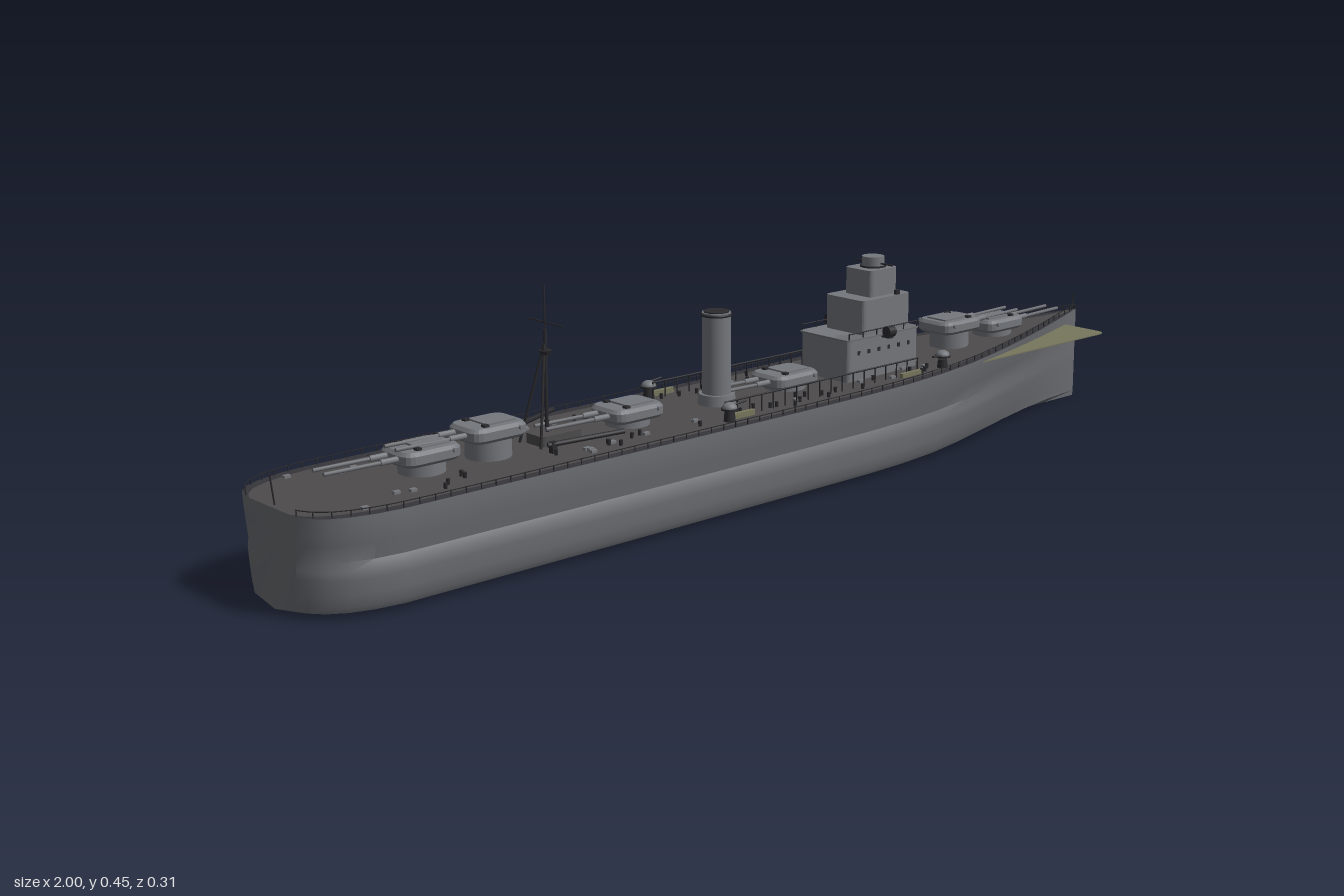
import * as THREE from 'three';
import { toCreasedNormals } from 'three/addons/utils/BufferGeometryUtils.js';

const mat = (name, color, side = THREE.FrontSide) => {
  const m = new THREE.MeshStandardMaterial({ color, side });
  m.name = name;
  return m;
};

// Stations along the hull: x, half width at deck, half width at bilge
const STATIONS = [
  [-1, 0.08, 0.062], [-0.99, 0.1, 0.083], [-0.97, 0.121, 0.108], [-0.94, 0.136, 0.128],
  [-0.9, 0.147, 0.142], [-0.85, 0.153, 0.15], [-0.4, 0.154, 0.152], [0, 0.154, 0.152],
  [0.2, 0.154, 0.151], [0.3, 0.153, 0.146], [0.4, 0.147, 0.134], [0.5, 0.135, 0.112],
  [0.6, 0.115, 0.085], [0.7, 0.091, 0.057], [0.8, 0.064, 0.032], [0.9, 0.033, 0.012], [1, 0.001, 0.001],
];
const sheer = (x) => 0.17 + 0.026 * Math.pow(Math.max(0, (x - 0.1) / 0.9), 1.5);

// Skin through rows of points, all rows the same length
function loft(rows, capFirst = false) {
  const n = rows[0].length, index = [];
  for (let i = 0; i < rows.length - 1; i++)
    for (let j = 0; j < n - 1; j++) {
      const a = i * n + j, b = a + n;
      index.push(a, a + 1, b, b, a + 1, b + 1);
    }
  if (capFirst) for (let k = 1; k < n - 1; k++) index.push(0, k + 1, k);
  const g = new THREE.BufferGeometry();
  g.setAttribute('position', new THREE.Float32BufferAttribute(rows.flat(2), 3));
  g.setIndex(index);
  return toCreasedNormals(g, 0.6);
}

export function createModel() {
  const hullGrey = mat('hull grey', 0x6b6d72);
  const steel = mat('superstructure grey', 0x74777c);
  const deckGrey = mat('deck grey', 0x4d4b4b);
  const edgeDark = mat('deck edge dark', 0x36353b);
  const dark = mat('fittings dark', 0x2b2b2f);
  const olive = mat('olive', 0x77765c);
  const ship = new THREE.Group();
  ship.name = 'warship';

  const add = (name, geo, m, x = 0, y = 0, z = 0, parent = ship) => {
    const mesh = new THREE.Mesh(geo, m);
    mesh.name = name;
    mesh.position.set(x, y, z);
    parent.add(mesh);
    return mesh;
  };
  const box = (name, w, h, d, m, x, y, z, p) => add(name, new THREE.BoxGeometry(w, h, d), m, x, y + h / 2, z, p);
  const cyl = (name, r0, r1, h, m, x, y, z, p, seg = 20) =>
    add(name, new THREE.CylinderGeometry(r1, r0, h, seg), m, x, y + h / 2, z, p);
  const rod = (name, a, b, r, m, p) => {
    const A = new THREE.Vector3(...a), B = new THREE.Vector3(...b), d = B.clone().sub(A);
    const mesh = add(name, new THREE.CylinderGeometry(r, r, d.length(), 8), m, 0, 0, 0, p);
    mesh.position.copy(A).add(B).multiplyScalar(0.5);
    mesh.quaternion.setFromUnitVectors(new THREE.Vector3(0, 1, 0), d.normalize());
    return mesh;
  };
  const slab = (w, d, r, h, bevel = 0) => {
    const s = new THREE.Shape(), a = w / 2 - bevel, b = d / 2 - bevel;
    s.moveTo(-a + r, -b).lineTo(a - r, -b).quadraticCurveTo(a, -b, a, -b + r).lineTo(a, b - r)
      .quadraticCurveTo(a, b, a - r, b).lineTo(-a + r, b).quadraticCurveTo(-a, b, -a, b - r)
      .lineTo(-a, -b + r).quadraticCurveTo(-a, -b, -a + r, -b);
    return new THREE.ExtrudeGeometry(s, {
      depth: h - 2 * bevel, bevelEnabled: bevel > 0, bevelSize: bevel, bevelThickness: bevel, bevelSegments: 1, curveSegments: 5,
    }).rotateX(-Math.PI / 2).translate(0, bevel, 0);
  };

  // Hull with side bulge and shallow V bottom
  const hullRows = STATIONS.map(([x, w, b]) => {
    const top = sheer(x), mid = Math.min(1, w / 0.15), side = [];
    const at = (t, k = 0) => [x, 0.015 + t * (top - 0.015), Math.max(0.0005, b + (w - b) * t + k * mid)];
    side.push(at(1), at(0.88, 0.001), at(0.7, -0.002), at(0.52, -0.006), at(0.43, 0.002), at(0.34, 0.003), at(0.18, 0.002), at(0.05, 0), [x, 0.012, b * 0.96]);
    const other = side.map(([X, Y, Z]) => [X, Y, -Z]).reverse();
    return [...side, [x, 0.001, 0], ...other];
  });
  add('hull', loft(hullRows, true), hullGrey);

  // Deck and the dark waterway around it
  const inner = (w) => Math.max(0, w - 0.02);
  const strip = (f) => loft(STATIONS.map(([x, w]) => f(w).map((z) => [x, sheer(x), z])));
  add('deck', strip((w) => [-inner(w), 0, inner(w)]), deckGrey);
  add('waterwayLeft', strip((w) => [inner(w), w]), edgeDark);
  add('waterwayRight', strip((w) => [-w, -inner(w)]), edgeDark);

  // Flat plate standing out on both sides of the bow
  add('bowPlate', slab(0.42, 0.25, 0.02, 0.002), olive, 0.735, 0.1695, 0);

  // Deck-edge railings and bow and stern staffs
  for (const s of [-1, 1]) {
    const path = new THREE.CatmullRomCurve3(STATIONS.map(([x, w]) =>
      new THREE.Vector3(x * 0.997, sheer(x) + 0.01, s * Math.max(0.001, w - 0.004))));
    add('railing', new THREE.TubeGeometry(path, 120, 0.0009, 4), dark);
    for (let i = 0; i <= 70; i++) {
      const p = path.getPointAt(i / 70);
      box('stanchion', 0.0016, 0.012, 0.0016, dark, p.x, p.y - 0.011, p.z);
    }
    // Midship gallery with rail
    rod('galleryRail', [-0.13, 0.202, s * 0.1], [0.38, 0.202, s * 0.1], 0.0018, dark);
    for (let x = -0.13; x < 0.39; x += 0.03) box('galleryPost', 0.002, 0.033, 0.002, dark, x, 0.17, s * 0.1);
    // Secondary gun mounts and stowed boats
    for (const x of [-0.13, 0.44]) {
      cyl('mountBase', 0.011, 0.009, 0.022, dark, x, 0.17, s * 0.112);
      const shield = add('mountShield', new THREE.SphereGeometry(0.014, 14, 8, 0, Math.PI * 2, 0, Math.PI / 2), steel, x, sheer(x) + 0.024, s * 0.112);
      shield.scale.y = 0.75;
      cyl('mountFloor', 0.016, 0.016, 0.003, dark, x, sheer(x) + 0.021, s * 0.112);
      rod('mountBarrel', [x, 0.199, s * 0.117], [x - Math.sign(x) * 0.035, 0.203, s * 0.117], 0.002, dark);
    }
    for (const x of [-0.1, 0.35]) add('boat', slab(0.06, 0.009, 0.004, 0.01), olive, x, 0.172, s * 0.112);
    // Cargo booms beside the mast
    rod('boom', [-0.5, 0.185, s * 0.06], [-0.365, 0.193, s * 0.1], 0.0045, dark);
    box('boomPost', 0.01, 0.02, 0.01, dark, -0.49, 0.17, s * 0.062);
  }
  rod('bowStaff', [0.985, 0.19, 0], [0.992, 0.232, 0], 0.0014, dark);
  rod('sternStaff', [-0.99, 0.17, 0], [-0.996, 0.222, 0], 0.0014, dark);

  // Twin-gun turrets: x, height of the gunhouse floor, direction
  const turret = (x, y, dir) => {
    const g = new THREE.Group();
    g.name = 'turret';
    g.position.set(x, 0, 0);
    g.rotation.y = dir > 0 ? 0 : Math.PI;
    ship.add(g);
    cyl('barbette', 0.04, 0.04, y - 0.165, steel, 0, 0.165, 0, g, 28);
    add('gunhouse', slab(0.115, 0.09, 0.02, 0.026, 0.006), steel, 0, y, 0, g);
    box('roofPlate', 0.06, 0.003, 0.05, steel, -0.01, y + 0.026, 0, g);
    rod('rangefinder', [-0.035, y + 0.018, -0.05], [-0.035, y + 0.018, 0.05], 0.004, steel, g);
    for (const s of [-1, 1]) {
      rod('gunSleeve', [0.05, y + 0.014, s * 0.016], [0.09, y + 0.0145, s * 0.016], 0.0055, steel, g);
      rod('gunBarrel', [0.08, y + 0.014, s * 0.016], [0.195, y + 0.016, s * 0.016], 0.0035, hullGrey, g);
      box('sightHood', 0.01, 0.005, 0.01, dark, 0.025, y + 0.025, s * 0.028, g);
    }
  };
  turret(0.72, 0.196, 1);
  turret(0.585, 0.212, 1);
  turret(0.115, 0.178, -1);
  turret(-0.275, 0.182, -1);
  turret(-0.58, 0.204, -1);
  turret(-0.715, 0.19, -1);

  // Bridge tower in stepped tiers
  add('towerBase', slab(0.2, 0.13, 0.012, 0.085), steel, 0.32, 0.17, 0);
  add('towerBaseRoof', slab(0.205, 0.135, 0.012, 0.003), hullGrey, 0.32, 0.252, 0);
  add('towerMiddle', slab(0.135, 0.104, 0.012, 0.067), steel, 0.342, 0.255, 0);
  add('towerUpper', slab(0.078, 0.072, 0.012, 0.053), steel, 0.35, 0.321, 0);
  cyl('directorBase', 0.026, 0.026, 0.004, dark, 0.355, 0.373, 0);
  cyl('director', 0.022, 0.022, 0.019, steel, 0.355, 0.376, 0, ship, 24);
  rod('directorArm', [0.355, 0.382, -0.052], [0.355, 0.382, 0.052], 0.0018, dark);
  for (let i = -6; i <= 6; i++) box('bridgeWindow', 0.003, 0.009, 0.0055, dark, 0.409, 0.26, i * 0.0073);
  for (const z of [-0.035, -0.012, 0.012, 0.035])
    for (const y of [0.2, 0.222]) cyl('porthole', 0.004, 0.004, 0.003, dark, 0.4205, y, z).rotation.z = Math.PI / 2;
  for (const s of [-1, 1]) {
    for (let i = 0; i < 6; i++) {
      box('sideWindow', 0.007, 0.008, 0.002, dark, 0.25 + i * 0.028, 0.222, s * 0.065);
      box('sideRailPost', 0.002, 0.012, 0.002, dark, 0.225 + i * 0.038, 0.255, s * 0.064);
    }
    rod('towerRail', [0.225, 0.266, s * 0.064], [0.418, 0.266, s * 0.064], 0.0012, dark);
    box('lampArm', 0.012, 0.004, 0.03, dark, 0.32, 0.248, s * 0.07);
    const lamp = cyl('searchlight', 0.011, 0.011, 0.018, dark, 0.32, 0.252, s * 0.08);
    lamp.rotation.z = Math.PI / 2;
    box('upperLamp', 0.01, 0.01, 0.007, dark, 0.375, 0.321, s * 0.047);
  }

  // Funnel with dark cap
  cyl('funnelBase', 0.036, 0.034, 0.02, steel, -0.06, 0.17, 0);
  cyl('funnel', 0.027, 0.027, 0.165, steel, -0.06, 0.178, 0, ship, 32);
  add('funnelRim', new THREE.TorusGeometry(0.027, 0.0025, 8, 32).rotateX(Math.PI / 2), dark, -0.06, 0.338, 0);
  cyl('funnelMouth', 0.024, 0.024, 0.002, dark, -0.06, 0.343, 0);

  // Tripod mast with yards and lookout
  rod('mastLower', [-0.455, 0.17, 0], [-0.455, 0.37, 0], 0.0032, dark);
  rod('mastTop', [-0.455, 0.37, 0], [-0.455, 0.446, 0], 0.0016, dark);
  for (const s of [-1, 1]) rod('mastLeg', [-0.492, 0.17, s * 0.03], [-0.457, 0.345, 0], 0.0024, dark);
  cyl('lookout', 0.008, 0.011, 0.008, dark, -0.455, 0.325, 0);
  rod('yard', [-0.455, 0.382, -0.05], [-0.455, 0.382, 0.05], 0.0014, dark);
  add('mastHouse', slab(0.09, 0.05, 0.01, 0.018), deckGrey, -0.44, 0.17, 0);

  // Small vents, bollards and hatches scattered over the deck
  let seed = 7;
  const rnd = () => (seed = (seed * 16807) % 2147483647) / 2147483647;
  for (let i = 0; i < 44; i++) {
    const x = -0.9 + rnd() * 1.4, z = 0.065 + rnd() * 0.055;
    for (const s of [-1, 1]) {
      if (i % 3) cyl('vent', 0.003, 0.0035, 0.01, dark, x, sheer(x), s * z, ship, 8);
      else box('hatch', 0.012, 0.005, 0.008, steel, x, sheer(x), s * z);
    }
  }
  return ship;
}
